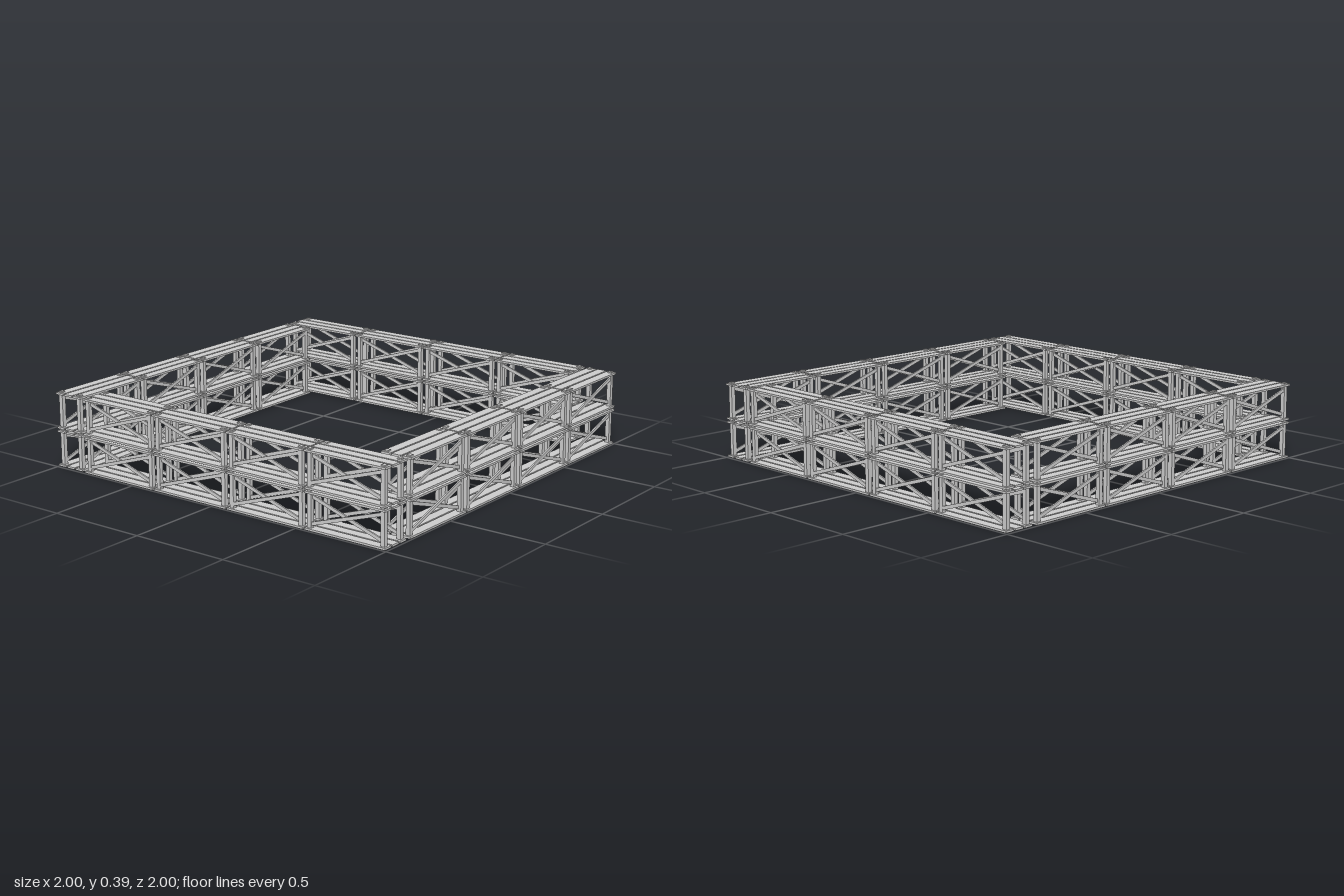
import * as THREE from 'three';

const material = new THREE.MeshStandardMaterial({ color: 0xcccccc, flatShading: true });

const BAY_LENGTH = 0.446, BAY_PITCH = 0.4535, LEVEL = 0.193;
const POST = 0.022, POST_X = 0.202, POST_Z = 0.06;

function box(name, w, h, d, x, y, z, tilt = 0) {
  const mesh = new THREE.Mesh(new THREE.BoxGeometry(w, h, d), material);
  mesh.name = name;
  mesh.position.set(x, y, z);
  mesh.rotation.z = tilt;
  return mesh;
}

// One scaffold frame: plank floor and deck, four posts, crossed braces on both long faces
function createBay() {
  const bay = new THREE.Group();
  bay.name = 'scaffoldBay';

  for (const y of [0.008, 0.182]) {
    for (const row of [-1, 0, 1]) {
      bay.add(box('plank', BAY_LENGTH, 0.01, 0.049, 0, y, row * 0.057));
    }
  }

  const rise = 0.132, run = POST_X * 2;
  for (const side of [-1, 1]) {
    for (const end of [-1, 1]) {
      bay.add(box('post', POST, LEVEL, POST, end * POST_X, LEVEL / 2, side * POST_Z));
      // The two diagonals sit on either side of the post line
      bay.add(box('diagonalBrace', Math.hypot(run, rise), 0.017, 0.008,
        0, 0.096, side * POST_Z + end * 0.005, end * Math.atan2(rise, run)));
    }
  }
  return bay;
}

// One side of the ring: four bays long, two levels high
function createWall() {
  const wall = new THREE.Group();
  wall.name = 'scaffoldWall';
  for (let level = 0; level < 2; level++) {
    for (let i = 0; i < 4; i++) {
      const bay = createBay();
      bay.position.set(0.09 + (i - 1.5) * BAY_PITCH, level * LEVEL, 0.9165);
      wall.add(bay);
    }
  }
  return wall;
}

export function createModel() {
  const model = new THREE.Group();
  model.name = 'scaffoldRing';
  // Four walls in a pinwheel, each end overlapping the next wall
  for (let i = 0; i < 4; i++) {
    const wall = createWall();
    wall.rotation.y = i * Math.PI / 2;
    model.add(wall);
  }
  return model;
}
